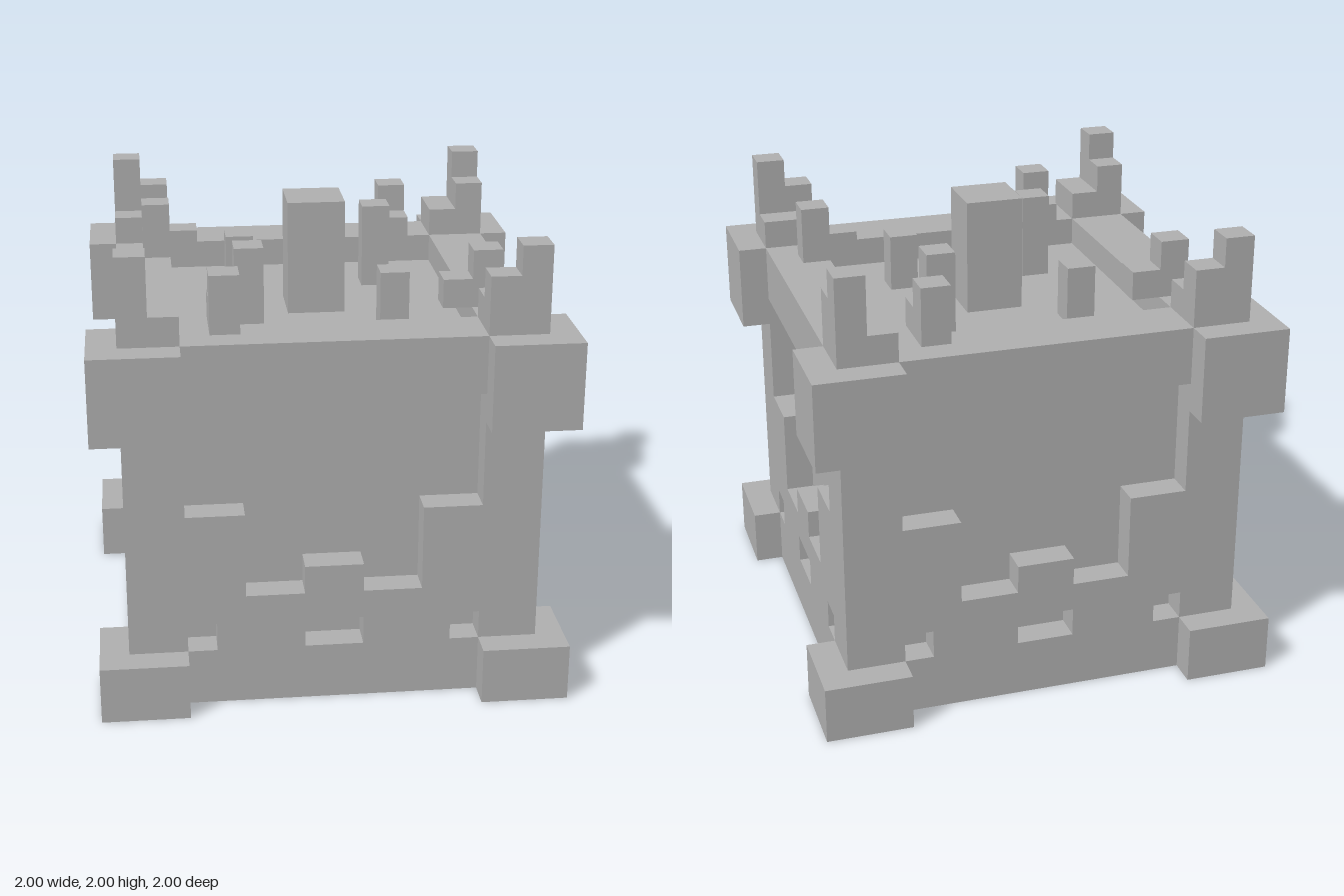
import * as THREE from 'three';

// All parts sit on a grid of 1/8 unit
const U = 0.125;

export function createModel() {
  const model = new THREE.Group();
  const stone = new THREE.MeshStandardMaterial({ color: 0xb0b0b0 });
  stone.name = 'stone grey';

  // Box given by its lowest and highest corner, in grid units
  function block(parent, name, x0, y0, z0, x1, y1, z1) {
    const geo = new THREE.BoxGeometry((x1 - x0) * U, (y1 - y0) * U, (z1 - z0) * U);
    const mesh = new THREE.Mesh(geo, stone);
    mesh.name = name;
    mesh.position.set((x0 + x1) * U / 2, (y0 + y1) * U / 2, (z0 + z1) * U / 2);
    parent.add(mesh);
  }

  const toPoints = list => list.map(([x, y]) => new THREE.Vector2(x * U, y * U));

  // Inner core; its top is the sunken floor
  block(model, 'core', -6, 0, -6, 6, 12, 6);

  // Outer wall layer with a stepped opening and three small holes;
  // one end is shorter so the four walls interlock at the corners
  const wall = new THREE.Shape(toPoints([
    [-7, 0], [6, 0], [6, 11], [5, 11], [5, 7], [3, 7], [3, 4], [1, 4], [1, 5],
    [-1, 5], [-1, 4], [-3, 4], [-3, 7], [-5, 7], [-5, 11], [-7, 11],
  ]));
  for (const [a, b] of [[-5, -4], [-1, 1], [4, 5]]) {
    wall.holes.push(new THREE.Path(toPoints([[a, 2], [a, 3], [b, 3], [b, 2]])));
  }
  const wallGeo = new THREE.ExtrudeGeometry(wall, { depth: U, bevelEnabled: false });
  wallGeo.translate(0, 0, 6 * U);

  // Four equal sides, each turned a quarter
  for (let i = 0; i < 4; i++) {
    const side = new THREE.Group();
    side.name = 'side' + (i + 1);
    side.rotation.y = i * Math.PI / 2;
    model.add(side);

    const face = new THREE.Mesh(wallGeo, stone);
    face.name = 'wall';
    side.add(face);

    block(side, 'rim', -5, 11, 5, 5, 13, 7);
    block(side, 'cornerFoot', 5, 0, 5, 8, 2, 8);
    block(side, 'cornerCap', 5, 10, 5, 8, 13, 8);

    // Stepped spire on the corner
    block(side, 'spireTall', 6, 13, 6, 7, 16, 7);
    block(side, 'spireMiddle', 5, 13, 6, 6, 15, 7);
    block(side, 'spireLow', 5, 13, 5, 7, 14, 6);

    // Hook on the rim with an arm reaching over the floor
    block(side, 'hookPost', -4, 13, 5, -3, 15, 6);
    block(side, 'hookArm', -4, 13, 4, -3, 14, 5);

    // Small pillars, alternating in height
    block(side, 'smallPillar', 2, 12, 2, 3, i % 2 ? 15 : 14, 3);
  }

  block(model, 'centrePillar', -1, 12, -1, 1, 16, 1);
  return model;
}
